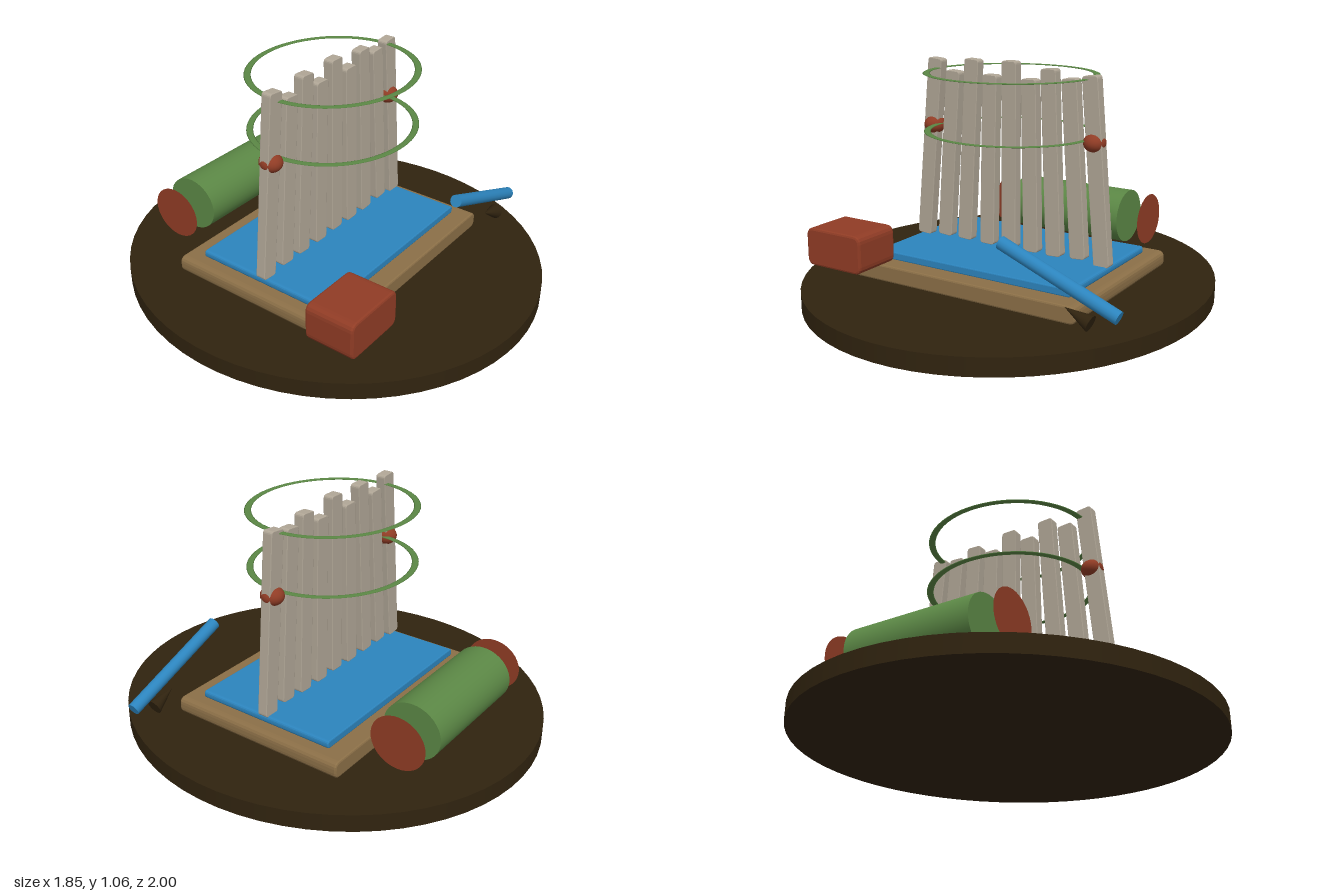
import * as THREE from 'three';

const paint = (name, color) => {
  const m = new THREE.MeshStandardMaterial({ color });
  m.name = name;
  return m;
};

export function createModel() {
  const darkWood = paint('dark wood', 0x30230f);
  const oak = paint('oak', 0x8b6f47);
  const blue = paint('blue', 0x2c84bd);
  const bone = paint('pale slat', 0xb0a696);
  const green = paint('green', 0x5b8745);
  const red = paint('red clay', 0x903c25);
  const redSheet = paint('red sheet', 0x903c25);
  redSheet.side = THREE.DoubleSide;

  const group = new THREE.Group();
  const add = (name, geometry, material, x = 0, y = 0, z = 0) => {
    const mesh = new THREE.Mesh(geometry, material);
    mesh.name = name;
    mesh.position.set(x, y, z);
    group.add(mesh);
    return mesh;
  };

  // Block with corners rounded in the xy plane and a small bevel at both z ends
  const block = (w, h, d, r, bevel) => {
    const a = w / 2 - bevel, b = h / 2 - bevel, s = new THREE.Shape();
    s.moveTo(-a + r, -b);
    s.lineTo(a - r, -b).quadraticCurveTo(a, -b, a, -b + r);
    s.lineTo(a, b - r).quadraticCurveTo(a, b, a - r, b);
    s.lineTo(-a + r, b).quadraticCurveTo(-a, b, -a, b - r);
    s.lineTo(-a, -b + r).quadraticCurveTo(-a, -b, -a + r, -b);
    return new THREE.ExtrudeGeometry(s, {
      depth: d - 2 * bevel, curveSegments: 4, bevelEnabled: bevel > 0,
      bevelSize: bevel, bevelThickness: bevel, bevelSegments: 2,
    }).translate(0, 0, -d / 2 + bevel);
  };

  // Oval base, board and mat
  add('base', new THREE.CylinderGeometry(1, 1, 0.08, 64), darkWood, 0, 0.04, 0).scale.x = 0.927;
  add('board', block(1.16, 0.077, 0.88, 0.022, 0.008), oak, 0, 0.1175, 0);
  add('mat', block(1.02, 0.036, 0.7, 0.01, 0.005), blue, 0, 0.173, 0);

  // Fan of leaning slats: [top x, top y, bottom x, bottom y]
  [
    [-0.405, 1.05, -0.487, 0.19], [-0.305, 0.997, -0.364, 0.2], [-0.2, 1.057, -0.248, 0.198],
    [-0.102, 0.992, -0.121, 0.195], [0, 1.06, 0, 0.2], [0.102, 0.987, 0.118, 0.195],
    [0.202, 1.038, 0.237, 0.195], [0.306, 1.003, 0.361, 0.203], [0.406, 1.022, 0.48, 0.185],
  ].forEach(([tx, ty, bx, by], i) => {
    const dx = tx - bx, dy = ty - by;
    const slat = add('slat' + (i + 1), block(0.076, Math.hypot(dx, dy), 0.048, 0.012, 0.003),
      bone, (tx + bx) / 2, (ty + by) / 2, 0);
    slat.rotation.z = -Math.atan2(dx, dy);
  });

  // Flat oval hoops
  for (const y of [0.742, 1.005]) {
    const hoop = new THREE.TorusGeometry(0.388, 0.016, 8, 64).rotateX(Math.PI / 2);
    add('hoop', hoop, green, 0, y, 0).scale.set(1, 0.16, 0.925);
  }

  // Side knobs
  for (const x of [-0.428, 0.425]) {
    add('knob', new THREE.SphereGeometry(1, 24, 16), red, x, 0.734, 0).scale.set(0.05, 0.043, 0.054);
  }

  // Red brick at the front corner
  add('brick', block(0.308, 0.174, 0.236, 0.026, 0.01), red, -0.537, 0.247, 0.5);

  // Slanted rod and the small cone below its end
  const rod = add('rod', new THREE.CylinderGeometry(0.029, 0.029, 0.575, 16), blue, 0.534, 0.287, 0.5);
  rod.rotation.z = Math.PI / 2 - 0.375;
  const cone = add('cone', new THREE.ConeGeometry(0.036, 0.124, 16), darkWood, 0.623, 0.156, 0.5);
  cone.rotation.z = Math.PI / 2 - 0.37;

  // Green roll with a loose red disc off each end
  add('roll', new THREE.CylinderGeometry(1, 1, 0.605, 40).rotateZ(Math.PI / 2), green, 0, 0.242, -0.625)
    .scale.set(1, 0.13, 0.139);
  for (const side of [-1, 1]) {
    add('rollDisc', new THREE.CircleGeometry(1, 40).rotateY(side * Math.PI / 2), redSheet,
      side * 0.41, 0.242, -0.625).scale.set(1, 0.123, 0.132);
  }

  return group;
}
